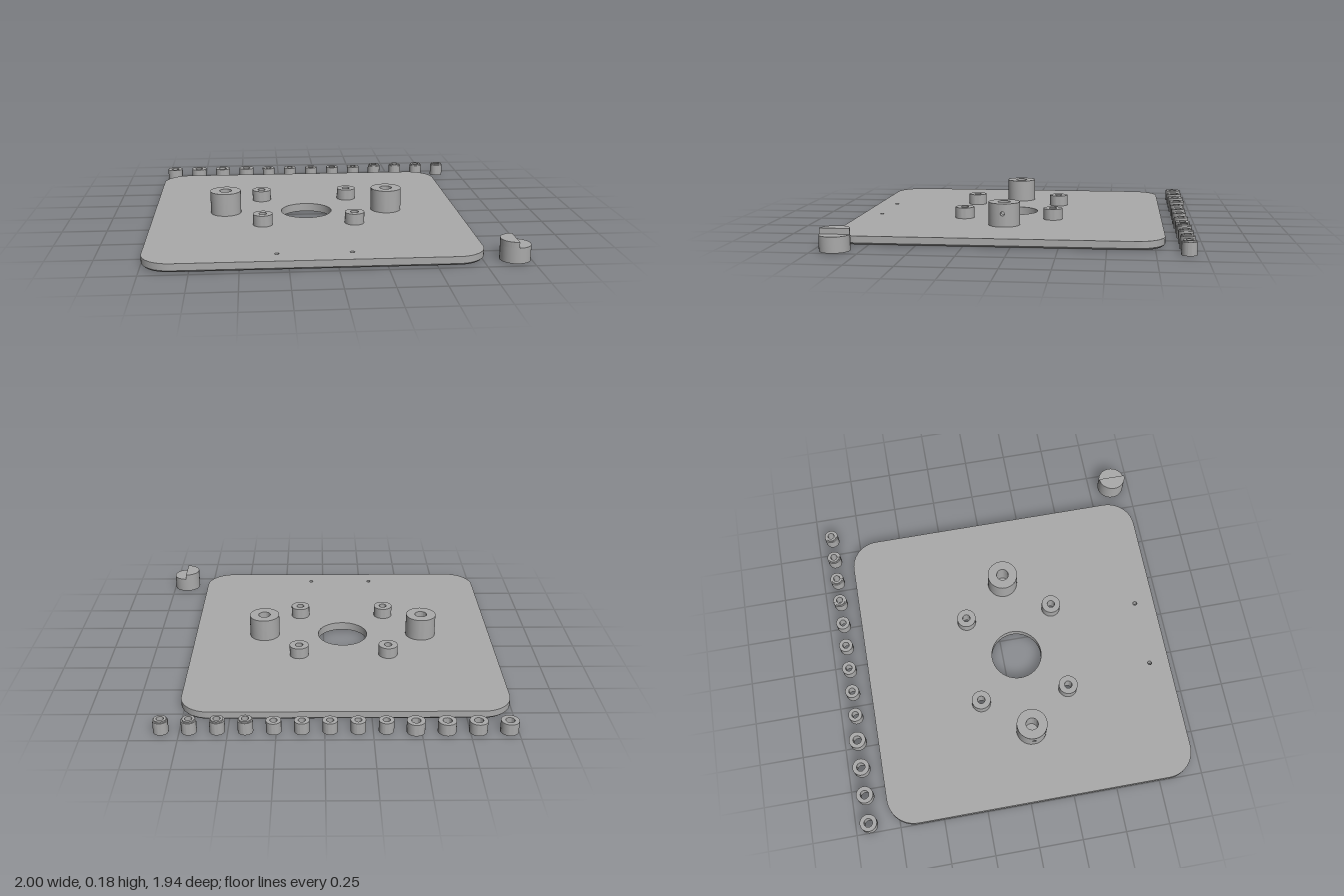
import * as THREE from 'three';
import { toCreasedNormals } from 'three/addons/utils/BufferGeometryUtils.js';

const PLATE_H = 0.047;
const CX = -0.115, CZ = 0.08; // plate centre

export function createModel() {
  const model = new THREE.Group();
  const grey = new THREE.MeshStandardMaterial({ color: 0xaaaaaa });
  grey.name = 'plainGrey';

  const add = (parent, name, geometry, x = 0, y = 0, z = 0) => {
    const mesh = new THREE.Mesh(geometry, grey);
    mesh.name = name;
    mesh.position.set(x, y, z);
    parent.add(mesh);
    return mesh;
  };
  // Turned part from [radius, height] pairs, with sharp edges kept
  const turned = (pairs, start = 0, length = Math.PI * 2, segments = 40) =>
    toCreasedNormals(new THREE.LatheGeometry(
      pairs.map(([r, y]) => new THREE.Vector2(r, y)), segments, start, length), 0.6);
  const circlePath = (x, y, r) => new THREE.Path().absarc(x, y, r, 0, Math.PI * 2, true);

  // Rounded square outline in x and z, drawn in by an inset
  const outline = (inset) => {
    const half = 0.885, radius = 0.16, steps = 14, points = [];
    for (let corner = 0; corner < 4; corner++) {
      const mid = (corner + 0.5) * Math.PI / 2;
      const x = CX + Math.sign(Math.cos(mid)) * (half - radius);
      const z = CZ + Math.sign(Math.sin(mid)) * (half - radius);
      for (let i = 0; i <= steps; i++) {
        const a = (corner + i / steps) * Math.PI / 2;
        points.push([x + Math.cos(a) * (radius - inset), z + Math.sin(a) * (radius - inset)]);
      }
    }
    return points;
  };

  // Hole positions
  const bosses = [];
  for (const sx of [-1, 1]) for (const sz of [-1, 1]) bosses.push([CX + sx * 0.258, CZ + sz * 0.258]);
  const pins = [[CX - 0.194, 0.85], [CX + 0.194, 0.85]];
  const CENTRE_R = 0.147, PIN_R = 0.012, CHAMFER = 0.01;

  // Flat face of the plate, facing up or down
  const plateFace = (inset, up, bossRadius) => {
    const s = up ? -1 : 1;
    const shape = new THREE.Shape(outline(inset).map(([x, z]) => new THREE.Vector2(x, s * z)));
    shape.holes.push(circlePath(CX, s * CZ, CENTRE_R));
    for (const [x, z] of bosses) shape.holes.push(circlePath(x, s * z, bossRadius));
    for (const [x, z] of pins) shape.holes.push(circlePath(x, s * z, PIN_R));
    return new THREE.ShapeGeometry(shape, 20).rotateX(s * Math.PI / 2);
  };

  // Plate rim: chamfer at the bottom, then a straight wall
  const plateRim = () => {
    const rings = [[CHAMFER, 0], [0, CHAMFER], [0, PLATE_H]];
    const n = outline(0).length, position = [], index = [];
    for (const [inset, y] of rings) for (const [x, z] of outline(inset)) position.push(x, y, z);
    for (let k = 0; k < rings.length - 1; k++) for (let i = 0; i < n; i++) {
      const j = (i + 1) % n, a = k * n, b = a + n;
      index.push(a + i, b + i, b + j, a + i, b + j, a + j);
    }
    const g = new THREE.BufferGeometry();
    g.setAttribute('position', new THREE.Float32BufferAttribute(position, 3));
    g.setIndex(index);
    return toCreasedNormals(g, 0.5);
  };

  const plate = new THREE.Group();
  plate.name = 'basePlate';
  model.add(plate);
  add(plate, 'plateTop', plateFace(0, true, 0.055), 0, PLATE_H, 0);
  add(plate, 'plateBottom', plateFace(CHAMFER, false, 0.044));
  add(plate, 'plateRim', plateRim());
  add(plate, 'centreHoleWall', turned([[CENTRE_R, PLATE_H], [CENTRE_R, 0]], 0, Math.PI * 2, 64), CX, 0, CZ);
  for (const [x, z] of pins) add(plate, 'pinHoleWall', turned([[PIN_R, PLATE_H], [PIN_R, 0]]), x, 0, z);

  // Four bosses with through holes, countersunk from below
  const bossGeometry = turned([[0.055, PLATE_H], [0.055, 0.11], [0.022, 0.11], [0.022, 0.022], [0.044, 0]]);
  for (const [x, z] of bosses) add(model, 'screwBoss', bossGeometry, x, 0, z);

  // Two tall posts with a blind bore and a cross hole facing outwards
  const R = 0.088, TOP = 0.177, BORE = 0.035, CROSS = 0.012, PATCH = 0.2;
  const wall = turned([[R, PLATE_H], [R, TOP]], Math.PI / 2 + PATCH, Math.PI * 2 - 2 * PATCH);
  const bore = turned([[R, TOP], [BORE, TOP], [BORE, 0.05], [0, 0.05]]);
  const cross = turned([[CROSS, R - 0.001], [CROSS, BORE]]).rotateZ(-Math.PI / 2);
  const w = PATCH * R;
  const patchShape = new THREE.Shape([[-w, PLATE_H], [w, PLATE_H], [w, TOP], [-w, TOP]]
    .map(([u, y]) => new THREE.Vector2(u, y)));
  patchShape.holes.push(circlePath(0, 0.122, CROSS));
  const patch = new THREE.ShapeGeometry(patchShape, 20);
  const p = patch.attributes.position, normal = patch.attributes.normal;
  for (let i = 0; i < p.count; i++) { // bend the pierced patch round the post
    const a = Math.PI / 2 + p.getX(i) / R;
    p.setXYZ(i, Math.sin(a) * R, p.getY(i), Math.cos(a) * R);
    normal.setXYZ(i, Math.sin(a), 0, Math.cos(a));
  }
  for (const side of [-1, 1]) {
    const post = new THREE.Group();
    post.name = side > 0 ? 'leftPost' : 'rightPost';
    post.position.set(CX + side * 0.469, 0, CZ);
    if (side < 0) post.rotation.y = Math.PI;
    add(post, 'postWall', wall);
    add(post, 'piercedWall', patch);
    add(post, 'postBore', bore);
    add(post, 'crossHole', cross, 0, 0.122, 0);
    model.add(post);
  }

  // Row of loose spacers behind the plate: wide, narrow, and narrow with a neck
  const wide = turned([[0.024, 0], [0.048, 0], [0.048, 0.066], [0.024, 0.066], [0.024, 0]]);
  const narrow = turned([[0.019, 0], [0.04, 0], [0.04, 0.066], [0.019, 0.066], [0.019, 0]]);
  const necked = turned([[0.019, 0], [0.04, 0], [0.04, 0.07], [0.033, 0.07], [0.033, 0.078],
    [0.019, 0.078], [0.019, 0]]);
  for (let i = 0; i < 4; i++) add(model, 'wideSpacer', wide, -0.952 + i * 0.161, 0, -0.922);
  for (let i = 0; i < 9; i++) {
    add(model, i < 5 ? 'narrowSpacer' : 'neckedSpacer', i < 5 ? narrow : necked, -0.318 + i * 0.1453, 0, -0.914);
  }

  // Loose round key with a raised half and a blind hole underneath
  const key = new THREE.Group();
  key.name = 'halfKey';
  key.position.set(0.918, 0, 0.886);
  model.add(key);
  add(key, 'keyBody', turned([[0, 0.05], [0.027, 0.05], [0.027, 0], [0.08, 0], [0.08, 0.084], [0, 0.084]]));
  const half = new THREE.Shape().absarc(0, 0, 0.08, Math.PI / 2, Math.PI * 1.5);
  const step = new THREE.ExtrudeGeometry(half, { depth: 0.031, bevelEnabled: false, curveSegments: 20 });
  add(key, 'keyStep', toCreasedNormals(step.rotateX(-Math.PI / 2), 0.6), 0, 0.084, 0);

  return model;
}
